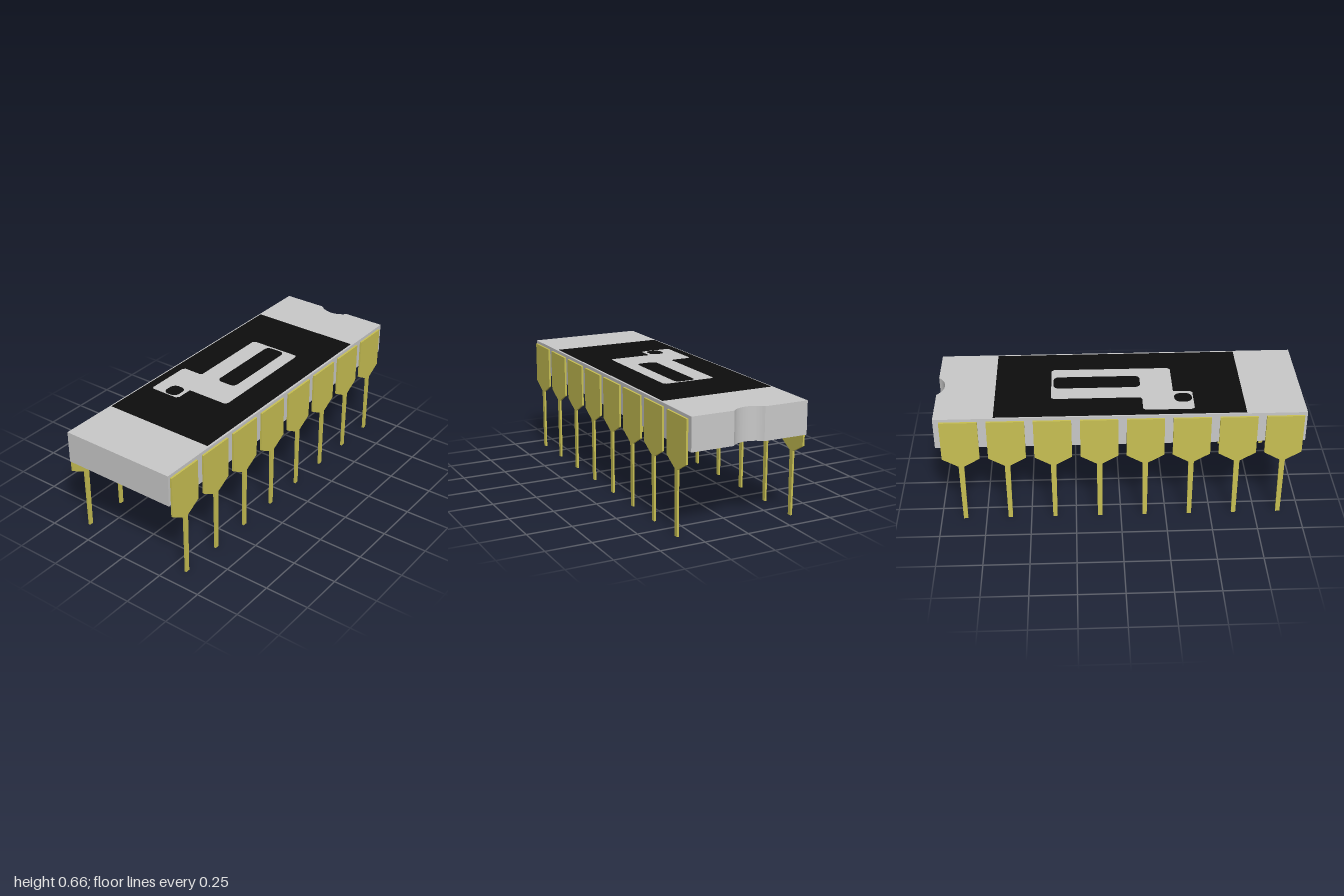
import * as THREE from 'three';
import { toCreasedNormals } from 'three/addons/utils/BufferGeometryUtils.js';

const mat = (name, color) => {
  const m = new THREE.MeshStandardMaterial({ color });
  m.name = name;
  return m;
};
const points = (list) => list.map(([x, y]) => new THREE.Vector2(x, y));

// Rounded rectangle outline, corners given as x and z ranges seen from above
function roundedPath(x0, x1, z0, z1, r) {
  const p = new THREE.Path();
  const y0 = -z1, y1 = -z0;
  p.absarc(x1 - r, y1 - r, r, 0, Math.PI / 2);
  p.absarc(x0 + r, y1 - r, r, Math.PI / 2, Math.PI);
  p.absarc(x0 + r, y0 + r, r, Math.PI, Math.PI * 1.5);
  p.absarc(x1 - r, y0 + r, r, Math.PI * 1.5, Math.PI * 2);
  p.closePath();
  return p;
}

export function createModel() {
  const model = new THREE.Group();
  model.name = 'chipPackage';
  const ceramic = mat('greyCeramic', 0xc9c9c9);
  const gold = mat('goldMetal', 0xc9c153);
  const black = mat('blackCoating', 0x0d0d0d);

  const add = (name, geometry, material) => {
    const mesh = new THREE.Mesh(geometry, material);
    mesh.name = name;
    model.add(mesh);
    return mesh;
  };

  // Body slab with a shallow round notch in the back edge
  const W = 0.333, bottom = 0.475, top = 0.6545;
  const slab = new THREE.Shape();
  const notchX = 0.006, notchR = 0.117, half = Math.acos(0.077 / notchR);
  slab.moveTo(-W, -1);
  slab.lineTo(W, -1);
  slab.lineTo(W, 1);
  slab.absarc(notchX, 1.077, notchR, -Math.PI / 2 + half, -Math.PI / 2 - half, true);
  slab.lineTo(-W, 1);
  slab.closePath();
  const body = new THREE.ExtrudeGeometry(slab, { depth: top - bottom, bevelEnabled: false, curveSegments: 16 });
  body.rotateX(-Math.PI / 2).translate(0, bottom, 0);
  add('body', toCreasedNormals(body, 0.5), ceramic);

  // Black coating on the lid, with an opening that leaves the trace bare
  const flat = (shapes) => new THREE.ShapeGeometry(shapes, 8).rotateX(-Math.PI / 2).translate(0, top + 0.001, 0);
  const coating = new THREE.Shape(points([[-0.325, -0.675], [0.322, -0.675], [0.322, 0.68], [-0.325, 0.68]]));
  coating.holes.push(new THREE.Path(points([
    [-0.14, 0.373], [0.14, 0.373], [0.152, 0.36], [0.152, -0.28], [0.138, -0.295],
    [-0.096, -0.295], [-0.096, -0.385], [-0.11, -0.4], [-0.265, -0.4], [-0.278, -0.388],
    [-0.278, -0.135], [-0.265, -0.122], [-0.165, -0.122], [-0.152, -0.11], [-0.152, 0.36],
  ])));
  add('lidCoating', flat(coating), black);

  // Coated islands inside the bare trace: long slot and small dot
  const islands = [
    roundedPath(-0.045, 0.073, -0.36, 0.118, 0.03),
    roundedPath(-0.204, -0.118, 0.297, 0.393, 0.035),
  ].map((p) => new THREE.Shape(p.getPoints(6)));
  add('coatingIslands', flat(islands), black);

  // Flat pins: wide shoulder tapering to a thin leg, eight on each side
  const T = 0.011;
  const pinShape = new THREE.Shape(points([
    [-0.012, 0], [0.012, 0], [0.015, 0.355], [0.102, 0.405],
    [0.102, 0.637], [-0.102, 0.637], [-0.102, 0.405], [-0.015, 0.355],
  ]));
  const pinGeometry = new THREE.ExtrudeGeometry(pinShape, { depth: T, bevelEnabled: false });
  pinGeometry.rotateY(-Math.PI / 2).translate(T / 2, 0, 0);
  for (const [side, s] of [['left', 1], ['right', -1]]) {
    for (let i = 0; i < 8; i++) {
      add(`${side}Pin${i + 1}`, pinGeometry, gold).position.set(s * (W + T / 2), 0, 0.883 - i * 0.25);
    }
  }
  return model;
}
